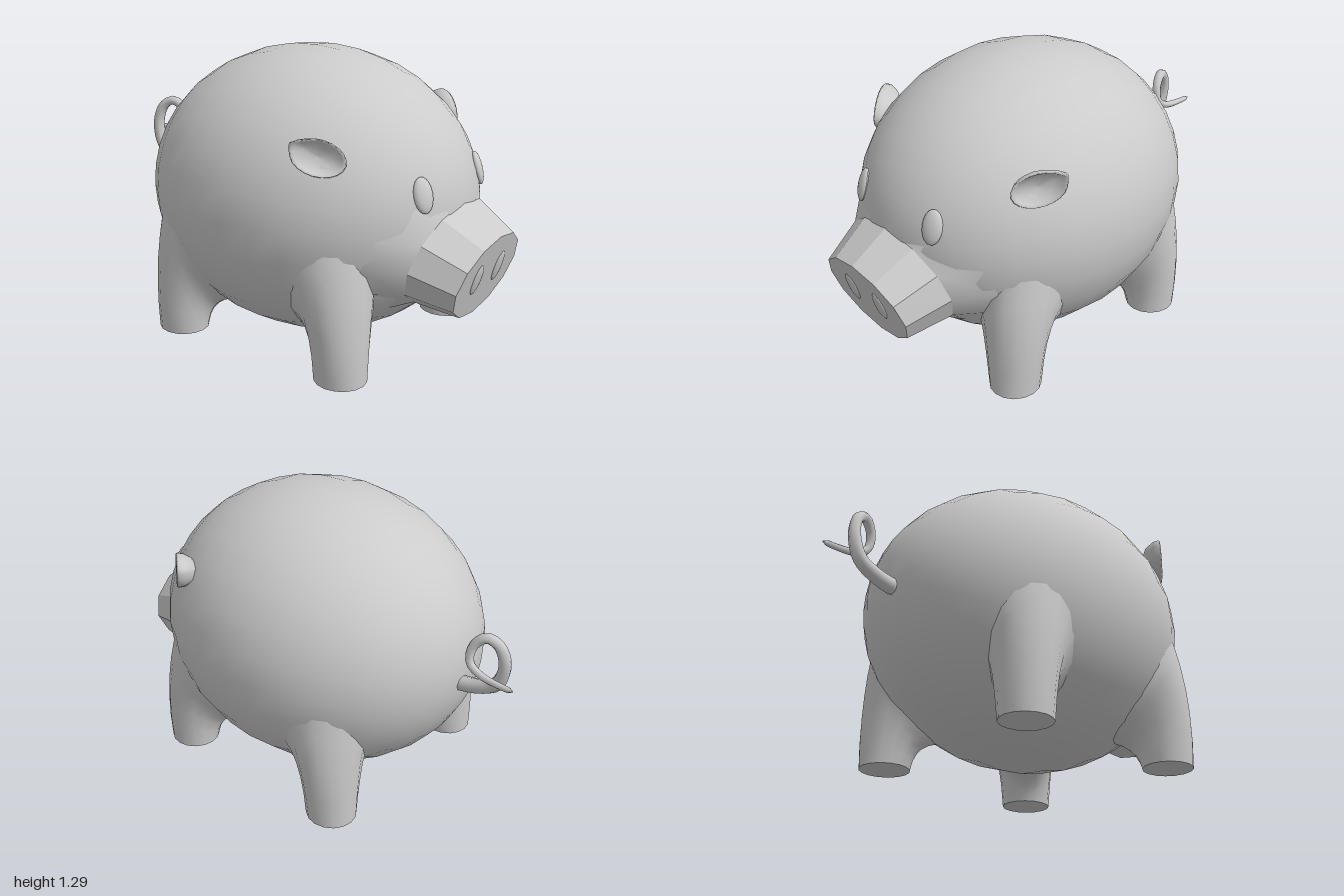
import * as THREE from 'three';

const V = (x, y, z) => new THREE.Vector3(x, y, z);
const smooth = new THREE.MeshStandardMaterial({ color: 0xcccccc });
const faceted = new THREE.MeshStandardMaterial({ color: 0xcccccc, flatShading: true });
const CENTER = V(0, 0.65, 0.065);
const RADII = V(0.655, 0.64, 0.77);

// Push a point radially onto the body ellipsoid.
function onBody(p, k = 1) {
  const d = p.clone().sub(CENTER).divide(RADII).setLength(k);
  return d.multiply(RADII).add(CENTER);
}
// Outward normal of the body near a point.
function bodyNormal(p) {
  return p.clone().sub(CENTER).divide(RADII).divide(RADII).normalize();
}
// Skin a list of closed rings with equal point counts.
function loft(rings) {
  const n = rings[0].length, index = [];
  for (let i = 0; i < rings.length - 1; i++) {
    for (let j = 0; j < n; j++) {
      const a = i * n + j, b = i * n + (j + 1) % n;
      index.push(a, a + n, b, b, a + n, b + n);
    }
  }
  const g = new THREE.BufferGeometry().setFromPoints(rings.flat());
  g.setIndex(index);
  g.computeVertexNormals();
  return g;
}
function ring(n, fn) {
  return Array.from({ length: n }, (_, i) => fn((i / n) * Math.PI * 2));
}
// Reflect a geometry across x = 0 and restore its winding.
function mirrorX(geo) {
  const g = geo.clone().scale(-1, 1, 1);
  const ix = g.index.array;
  for (let i = 0; i < ix.length; i += 3) [ix[i + 1], ix[i + 2]] = [ix[i + 2], ix[i + 1]];
  g.computeVertexNormals();
  return g;
}

export function createModel() {
  const model = new THREE.Group();
  const add = (name, geo, mat = smooth) => {
    const m = new THREE.Mesh(geo, mat);
    m.name = name;
    model.add(m);
    return m;
  };
  const addPair = (name, geo, mat) => {
    add('left' + name, geo, mat);
    add('right' + name, mirrorX(geo), mat);
  };

  // Round body
  const body = new THREE.SphereGeometry(1, 28, 18).rotateX(Math.PI / 2);
  body.scale(RADII.x, RADII.y, RADII.z).translate(CENTER.x, CENTER.y, CENTER.z);
  add('body', body);

  // Legs: eight-sided feet that curve out into the body
  const legs = [['FrontLeg', 0.52, 0.47], ['BackLeg', -0.355, -0.31]];
  for (const [name, z, topZ] of legs) {
    const N = 16, R = 0.18;
    const anchor = onBody(V(0.43, 0.33, topZ));
    const nrm = bodyNormal(anchor);
    const curves = ring(N, (a) => {
      const c = Math.cos(a), s = Math.sin(a);
      const rise = -0.85 * R * (nrm.x * c + nrm.z * s) / nrm.y;
      const top = onBody(anchor.clone().add(V(R * c, rise, R * s)), 0.995);
      const foot = V(0.44 + 0.11 * c, 0, z + 0.115 * s);
      const bend = V(0.44 + 0.14 * c, Math.min(0.3, top.y * 0.85), z + 0.12 * s);
      return new THREE.QuadraticBezierCurve3(foot, bend, top);
    });
    const rings = [0, 0.2, 0.4, 0.6, 0.8, 1].map((t) => curves.map((c) => c.getPoint(t)));
    addPair(name, loft(rings));
    const sole = new THREE.CircleGeometry(1, N).scale(0.11, 0.115, 1).rotateX(Math.PI / 2);
    addPair(name + 'Sole', sole.translate(0.44, 0, z));
  }

  // Snout: tilted, faceted, tapering forward
  const tilt = 0.293, ct = Math.cos(tilt), st = Math.sin(tilt);
  const snoutRing = (y, z, rx, ry) => ring(12, (a) =>
    V(rx * Math.cos(a), y + ry * ct * Math.sin(a), z + ry * st * Math.sin(a)));
  const snoutBack = snoutRing(0.49, 0.757, 0.328, 0.236);
  add('snout', loft([
    snoutRing(0.423, 0.945, 0, 0),
    snoutRing(0.423, 0.945, 0.265, 0.191),
    snoutBack,
  ]), faceted);

  // Cheeks joining snout and body
  const cheekEdge = ring(12, (a) =>
    onBody(V(0.45 * Math.cos(a), 0.5 + 0.26 * Math.sin(a), 0.62), 0.998));
  add('cheeks', loft([snoutBack, cheekEdge]));

  // Nostrils
  const nostril = new THREE.SphereGeometry(1, 16, 8).scale(0.037, 0.073, 0.01).rotateX(tilt);
  addPair('Nostril', nostril.translate(0.095, 0.435, 0.949));

  // Eyes, lying against the face
  const eyeAt = onBody(V(0.23, 0.795, 0.755));
  const eye = new THREE.SphereGeometry(1, 16, 10).scale(0.045, 0.075, 0.022);
  eye.applyQuaternion(new THREE.Quaternion().setFromUnitVectors(V(0, 0, 1), bodyNormal(eyeAt)));
  addPair('Eye', eye.translate(eyeAt.x, eyeAt.y, eyeAt.z));

  // Ears: dished leaves with a raised tip
  const n = V(0.76, 0.05, 0.64).normalize();
  const u = V(0.64, 0, -0.76).normalize();
  const v = n.clone().cross(u);
  const earRing = (scale, depth) => ring(20, (a) => {
    const bump = Math.exp(-(((a - 0.35) / 0.3) ** 2));
    const r = scale * (1 + 0.16 * bump);
    const x = 0.115 * r * Math.cos(a), y = 0.075 * r * Math.sin(a);
    return V(0.515, 0.962, 0.455)
      .addScaledVector(u, x * 0.95 - y * 0.3)
      .addScaledVector(v, x * 0.3 + y * 0.95)
      .addScaledVector(n, depth);
  });
  addPair('Ear', loft([
    earRing(0, -0.03), earRing(0.5, -0.025), earRing(0.85, -0.005), earRing(0.94, 0.008),
    earRing(1, 0), earRing(0.95, -0.025), earRing(0.7, -0.06), earRing(0, -0.09),
  ]));

  // Curly tail, tapering to the tip
  const path = new THREE.CatmullRomCurve3([
    V(-0.005, 0.61, -0.67), V(-0.005, 0.63, -0.77), V(-0.005, 0.68, -0.865),
    V(0, 0.79, -0.9), V(0.015, 0.88, -0.875), V(0.035, 0.908, -0.825),
    V(0.058, 0.86, -0.778), V(0.073, 0.79, -0.78), V(0.08, 0.757, -0.84),
    V(0.082, 0.748, -0.92), V(0.085, 0.75, -0.995),
  ]);
  const SEG = 36, SIDES = 8;
  const tail = new THREE.TubeGeometry(path, SEG, 1, SIDES);
  const pos = tail.attributes.position;
  for (let i = 0; i < pos.count; i++) {
    const t = Math.floor(i / (SIDES + 1)) / SEG;
    const c = path.getPointAt(t);
    const r = t > 0.99 ? 0.001 : 0.036 - 0.024 * t;
    const p = V(0, 0, 0).fromBufferAttribute(pos, i).sub(c).multiplyScalar(r).add(c);
    pos.setXYZ(i, p.x, p.y, p.z);
  }
  add('tail', tail);

  return model;
}
